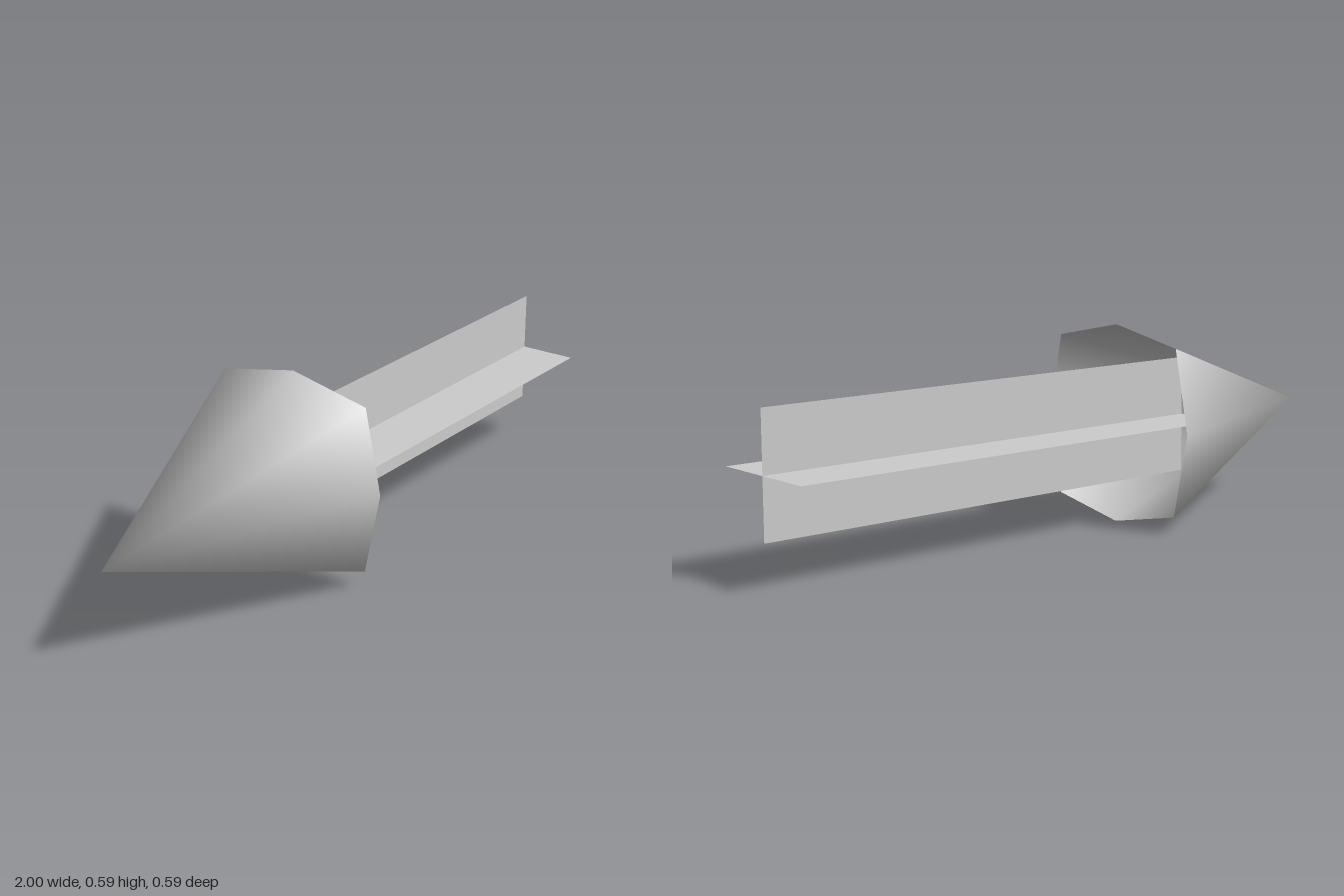
import * as THREE from 'three';

const CENTRE_Y = 0.296;
const TIP_X = -1, RIM_X = -0.225, BLADE_START_X = -0.5, END_X = 1;

// Hollow eight-sided head: one shared tip joined to a squarish rim, smooth normals
function headGeometry() {
  const sides = 8;
  const positions = [TIP_X, 0, 0];
  const index = [];
  for (let i = 0; i < sides; i++) {
    const angle = (i / sides) * Math.PI * 2;
    const radius = i % 2 ? 0.245 * Math.SQRT2 : 0.295;
    positions.push(RIM_X, Math.cos(angle) * radius, Math.sin(angle) * radius);
    index.push(0, 1 + ((i + 1) % sides), 1 + i);
  }
  const geometry = new THREE.BufferGeometry();
  geometry.setAttribute('position', new THREE.Float32BufferAttribute(positions, 3));
  geometry.setIndex(index);
  geometry.computeVertexNormals();
  // Make sure the outside is the front
  if (geometry.attributes.normal.getX(0) > 0) {
    geometry.setIndex(index.reverse());
    geometry.computeVertexNormals();
  }
  return geometry;
}

export function createModel() {
  const model = new THREE.Group();
  model.name = 'arrow';
  const grey = new THREE.MeshStandardMaterial({ color: 0xcccccc, side: THREE.DoubleSide });
  grey.name = 'light grey';

  const head = new THREE.Mesh(headGeometry(), grey);
  head.name = 'arrowHead';
  head.position.y = CENTRE_Y;
  model.add(head);

  // Shaft of two crossed flat blades running into the head
  const blade = new THREE.PlaneGeometry(END_X - BLADE_START_X, 0.35);
  for (const [name, turn] of [['uprightBlade', 0], ['flatBlade', -Math.PI / 2]]) {
    const mesh = new THREE.Mesh(blade, grey);
    mesh.name = name;
    mesh.rotation.x = turn;
    mesh.position.set((END_X + BLADE_START_X) / 2, CENTRE_Y, 0);
    model.add(mesh);
  }
  return model;
}
